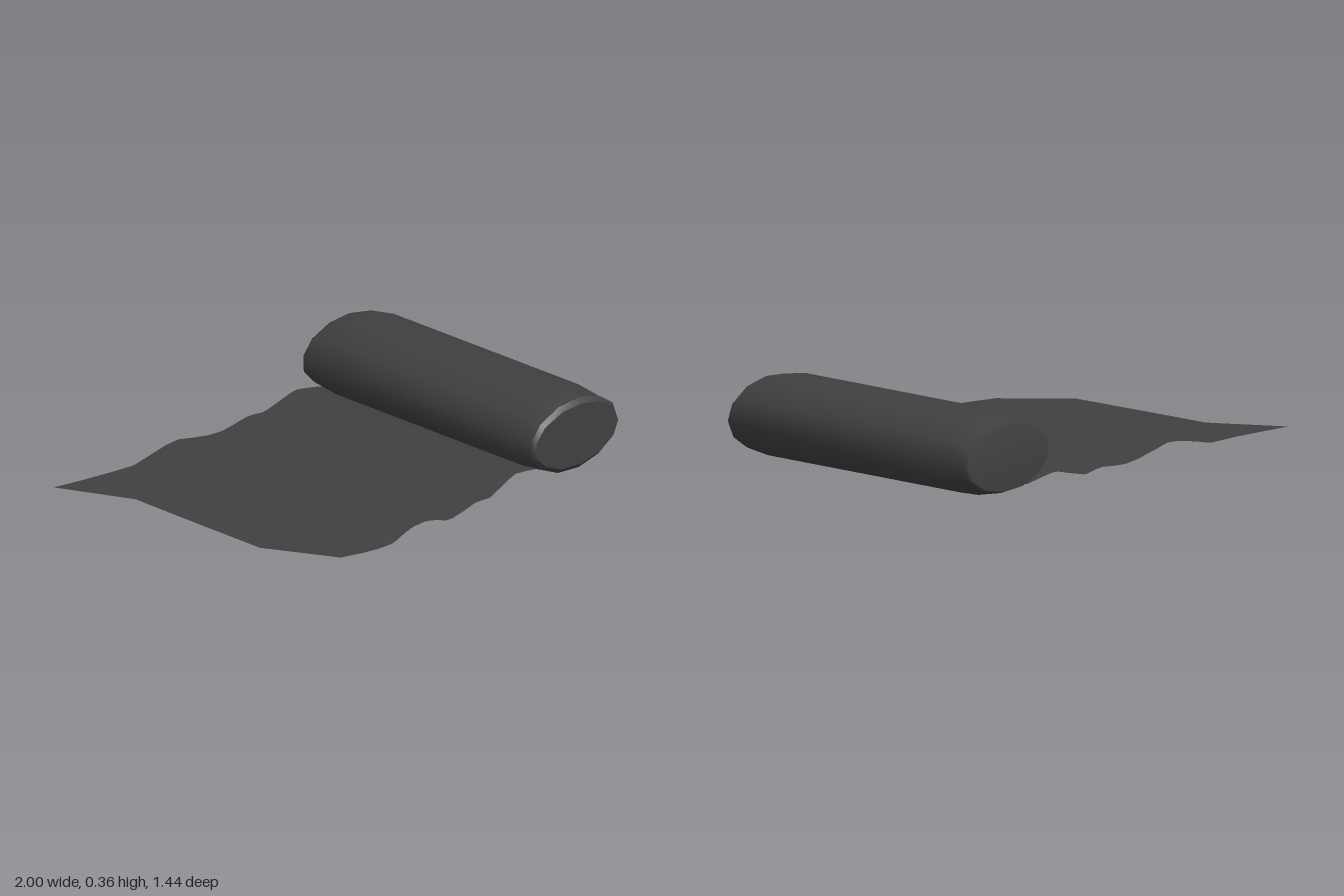
import * as THREE from 'three';

const SECTION = [
  [0.995, 0.18], [0.965, 0.27], [0.88, 0.333], [0.76, 0.362], [0.64, 0.353],
  [0.53, 0.3], [0.475, 0.225], [0.475, 0.14], [0.535, 0.065], [0.635, 0.015],
  [0.76, 0.004], [0.88, 0.035], [0.965, 0.1],
];
const CX = 0.74, CY = 0.182;

function indexed(positions, indices) {
  const g = new THREE.BufferGeometry();
  g.setAttribute('position', new THREE.Float32BufferAttribute(positions, 3));
  g.setIndex(indices);
  g.computeVertexNormals();
  return g;
}

// One ring of the oval section: depth z, scaled in x and y about its centre
const ring = (z, sx, sy) =>
  SECTION.flatMap(([x, y]) => [CX + (x - CX) * sx, CY + (y - CY) * sy, z]);

// Rings run from front to back; caps are fans around a centre point
function rollGeometry(rings, closeBack) {
  const n = SECTION.length, idx = [];
  const pos = rings.flatMap((r) => ring(...r));
  for (let i = 0; i < rings.length - 1; i++)
    for (let j = 0; j < n; j++) {
      const a = i * n + j, b = i * n + (j + 1) % n;
      idx.push(a, a + n, b, b, a + n, b + n);
    }
  if (closeBack) {
    const last = (rings.length - 1) * n, c = rings.length * n;
    pos.push(CX, CY, rings[rings.length - 1][0]);
    for (let j = 0; j < n; j++) idx.push(c, last + (j + 1) % n, last + j);
  }
  return indexed(pos, idx);
}

function frontCapGeometry(z, sx, sy) {
  const n = SECTION.length, idx = [];
  for (let j = 0; j < n; j++) idx.push(n, j, (j + 1) % n);
  return indexed([...ring(z, sx, sy), CX, CY, z], idx);
}

// Linear lookup in a list of [x, value] pairs
function lookup(table, x) {
  let i = 0;
  while (i < table.length - 2 && x > table[i + 1][0]) i++;
  const [x0, v0] = table[i], [x1, v1] = table[i + 1];
  return v0 + (v1 - v0) * THREE.MathUtils.clamp((x - x0) / (x1 - x0), 0, 1);
}

// Wavy side edges and ripple heights of the unrolled sheet
const BACK_Z = [[-1, -0.72], [-0.85, -0.695], [-0.7, -0.675], [-0.5, -0.662], [-0.3, -0.66],
  [-0.1, -0.667], [0.1, -0.682], [0.25, -0.692], [0.4, -0.695], [0.6, -0.685]];
const FRONT_Z = [[-0.65, 0.65], [-0.55, 0.68], [-0.42, 0.705], [-0.25, 0.717], [-0.1, 0.707],
  [0.05, 0.685], [0.25, 0.65], [0.4, 0.622], [0.6, 0.6]];
const RIPPLE_END = [[-0.03, 0.03], [0.05, 0.036], [0.13, 0.045], [0.18, 0.04], [0.24, 0.03],
  [0.34, 0.053], [0.43, 0.075], [0.5, 0.065], [0.6, 0.045]];
const BACK_Y = [[-1, 0.045], [-0.7, 0.039], [-0.57, 0.035], [-0.48, 0.056], [-0.38, 0.075],
  [-0.31, 0.078], [-0.24, 0.062], [-0.12, 0.038], ...RIPPLE_END];
const FRONT_Y = [[-1, 0.042], [-0.65, 0.022], [-0.47, 0.022], [-0.39, 0.03], [-0.33, 0.058],
  [-0.28, 0.074], [-0.21, 0.076], [-0.13, 0.058], [-0.08, 0.037], ...RIPPLE_END];

function sheetGeometry() {
  const cols = 60, right = 0.6, pos = [], idx = [];
  // Rows from back to front: left end x, and z along the row
  const rows = [
    [-1, (x) => lookup(BACK_Z, x)],
    [-0.84, () => -0.39],
    [-0.842, () => -0.02],
    [-0.84, () => 0.35],
    [-0.655, (x) => lookup(FRONT_Z, x)],
  ];
  rows.forEach(([left, zAt], r) => {
    for (let c = 0; c <= cols; c++) {
      const x = left + (right - left) * c / cols, z = zAt(x);
      const t = THREE.MathUtils.clamp((z + 0.7) / 1.4, 0, 1);
      pos.push(x, THREE.MathUtils.lerp(lookup(BACK_Y, x), lookup(FRONT_Y, x), t), z);
      if (r && c) {
        const d = r * (cols + 1) + c, b = d - cols - 1;
        idx.push(b - 1, d - 1, b, b, d - 1, d);
      }
    }
  });
  return indexed(pos, idx);
}

export function createModel() {
  const model = new THREE.Group();
  model.name = 'rolledMat';
  const rollMat = new THREE.MeshStandardMaterial({ color: 0x404040 });
  const sheetMat = new THREE.MeshStandardMaterial({ color: 0x404040, side: THREE.DoubleSide });
  const add = (name, geometry, material) => {
    const mesh = new THREE.Mesh(geometry, material);
    mesh.name = name;
    model.add(mesh);
  };

  // Oval roll, softly tapered at the back, with a crisp flat front end
  add('roll', rollGeometry([
    [0.67, 1, 0.89], [0.55, 1, 1], [-0.55, 1, 1], [-0.685, 1, 0.84], [-0.7, 0.95, 0.8],
  ], true), rollMat);
  add('frontRim', rollGeometry([[0.687, 0.95, 0.77], [0.67, 1, 0.89]], false), rollMat);
  add('frontCap', frontCapGeometry(0.687, 0.95, 0.77), rollMat);

  // Rippled sheet lying flat with clipped and pulled corners
  add('sheet', sheetGeometry(), sheetMat);
  return model;
}
